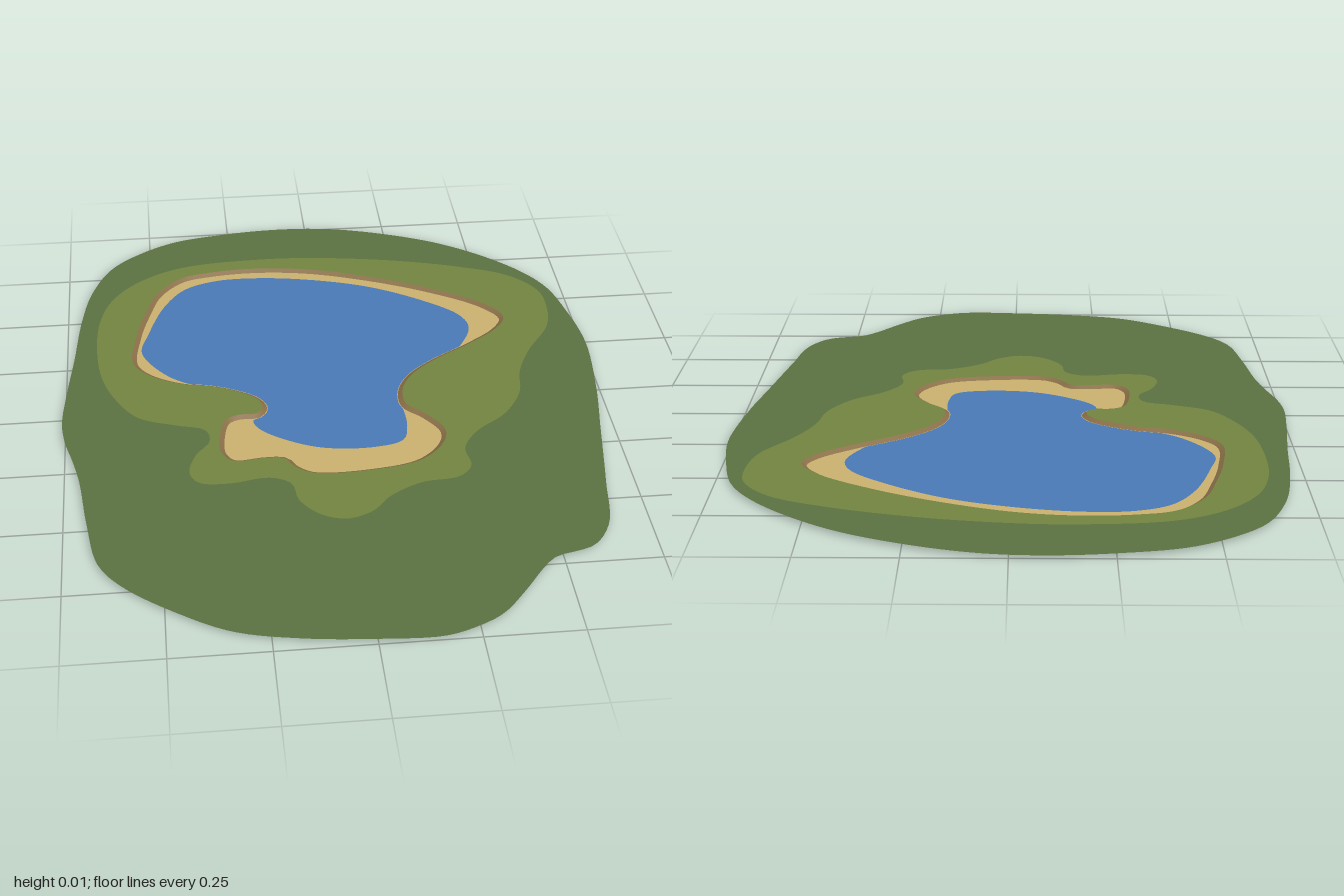
import * as THREE from 'three';

const RIM = 0.008;      // height of the grass above the pond floor
const SLOPE = 0.013;    // horizontal width of the bank
const SAMPLES = 220;

// Outlines as x, z pairs in hundredths, clockwise seen from above
const MEADOW = [-10, -100, 6, -99, 24, -94, 43, -85, 61, -70, 70, -57, 74, -41, 76, -24, 74, 0, 71, 19,
  67, 44, 64, 61, 59, 69, 55, 71, 48, 73, 44, 77, 38, 85, 31, 93, 24, 97, 16, 99.5, 0, 99, -18, 97,
  -34, 93, -47, 85, -60, 74, -66, 65, -69, 48, -71, 30, -73, 20, -75, 12, -76, 3, -75, -11, -73, -29,
  -71, -50, -68, -66, -62, -80, -54, -88, -42, -95, -26, -98.5];
const SHORE = [-14, -81.5, 3, -80.5, 24, -77, 45, -71, 60, -64, 67.5, -54.5, 68.5, -45, 66.5, -34,
  58.5, -21, 54, -10.5, 52, 0, 46, 10, 37, 17.5, 32.5, 25, 33, 33, 29, 37.5, 19, 39, 10, 44, 4.5, 50,
  -2.5, 52.5, -9, 50, -14, 43.5, -15.5, 36, -21, 33, -31.5, 34.5, -39.5, 33.5, -42, 29, -40, 21,
  -36, 15, -37, 9.5, -45, 6.5, -55, 2, -61, -7, -65, -18.5, -66.5, -34, -65.5, -50, -61.5, -62,
  -53, -72, -39.5, -79];
const PIT = [-18, -76, -2, -74, 16, -68, 34.5, -59, 49.5, -48.5, 54.5, -40.5, 51.5, -34.5, 42.5, -27,
  30.5, -19, 23, -12, 19.5, -5, 19.5, 2.5, 24, 7.5, 28.5, 15.5, 27, 22, 20, 29, 8, 32, -9, 32,
  -14, 28.5, -16.5, 24.5, -21.5, 24, -30, 24.5, -33, 20.5, -33, 12, -31, 5, -27, 3, -22.5, 3,
  -20.5, -0.5, -22.5, -5, -29, -9.5, -35, -12, -43, -14, -51.5, -19, -56, -25.5, -55, -40, -52, -53,
  -48, -64.5, -40.5, -72.5, -31.5, -75];
const WATER = [-18, -71.5, -2, -69, 16, -63, 32, -53, 41.5, -44, 43.5, -37, 40, -28, 34.5, -21, 24, -12,
  18.5, -5, 18.5, 3, 18.5, 12, 16.5, 18.5, 8, 21, -5, 20, -14, 16, -22, 9.5, -23.5, 5, -20, 2,
  -19.5, -1, -21.5, -6, -28, -10.5, -37, -13, -46, -19, -53.5, -32, -51.5, -42, -46, -58,
  -39.5, -67, -30, -71];

// Smooth closed outline through the given pairs
function outline(pairs) {
  const pts = [];
  for (let i = 0; i < pairs.length; i += 2) pts.push(new THREE.Vector3(pairs[i] / 100, 0, pairs[i + 1] / 100));
  const curve = new THREE.CatmullRomCurve3(pts, true, 'centripetal');
  return curve.getSpacedPoints(SAMPLES).slice(0, SAMPLES).map(p => new THREE.Vector2(p.x, p.z));
}

// Unit vector pointing into a clockwise outline at point i
function inward(loop, i) {
  const n = loop.length;
  const t = loop[(i + 1) % n].clone().sub(loop[(i + n - 1) % n]).normalize();
  return new THREE.Vector2(-t.y, t.x);
}

const inset = (loop, d) => loop.map((p, i) => p.clone().addScaledVector(inward(loop, i), d));

// Keep a loop just inside another one
function keepInside(loop, border, gap) {
  return loop.map(p => {
    let best = 0;
    border.forEach((q, i) => { if (q.distanceTo(p) < border[best].distanceTo(p)) best = i; });
    const dir = inward(border, best);
    const depth = p.clone().sub(border[best]).dot(dir);
    return depth < gap ? p.clone().addScaledVector(dir, gap - depth) : p;
  });
}

// Flat horizontal sheet with an optional hole
function sheet(loop, hole, y) {
  const flip = l => l.map(p => new THREE.Vector2(p.x, -p.y));
  const shape = new THREE.Shape(flip(loop));
  if (hole) shape.holes.push(new THREE.Path(flip(hole)));
  return new THREE.ShapeGeometry(shape).rotateX(-Math.PI / 2).translate(0, y, 0);
}

// Sloping strip from the rim down to the pond floor
function strip(top, bottom) {
  const pos = [], index = [], n = top.length;
  for (let i = 0; i < n; i++) {
    pos.push(top[i].x, RIM, top[i].y, bottom[i].x, 0, bottom[i].y);
    const a = 2 * i, b = 2 * ((i + 1) % n);
    index.push(a, a + 1, b, b, a + 1, b + 1);
  }
  const g = new THREE.BufferGeometry();
  g.setAttribute('position', new THREE.Float32BufferAttribute(pos, 3));
  g.setIndex(index);
  g.computeVertexNormals();
  return g;
}

export function createModel() {
  const group = new THREE.Group();
  group.name = 'pond';

  const add = (name, geometry, colorName, color) => {
    const material = new THREE.MeshStandardMaterial({ color, side: THREE.DoubleSide });
    material.name = colorName;
    const mesh = new THREE.Mesh(geometry, material);
    mesh.name = name;
    group.add(mesh);
  };

  const meadow = outline(MEADOW), shore = outline(SHORE), pit = outline(PIT);
  const floor = inset(pit, SLOPE);
  const water = keepInside(outline(WATER), floor, 0.0015);

  // Raised grass rings
  add('meadow', sheet(meadow, shore, RIM), 'dark green', 0x5a7040);
  add('shoreGrass', sheet(shore, pit, RIM), 'olive green', 0x718340);
  // Earth bank around the pit
  add('bank', strip(pit, floor), 'earth brown', 0x8a6f48);
  // Pond floor
  add('beach', sheet(floor, water, 0), 'sand', 0xc8b06e);
  add('water', sheet(water, null, 0), 'water blue', 0x4a79b5);

  return group;
}
